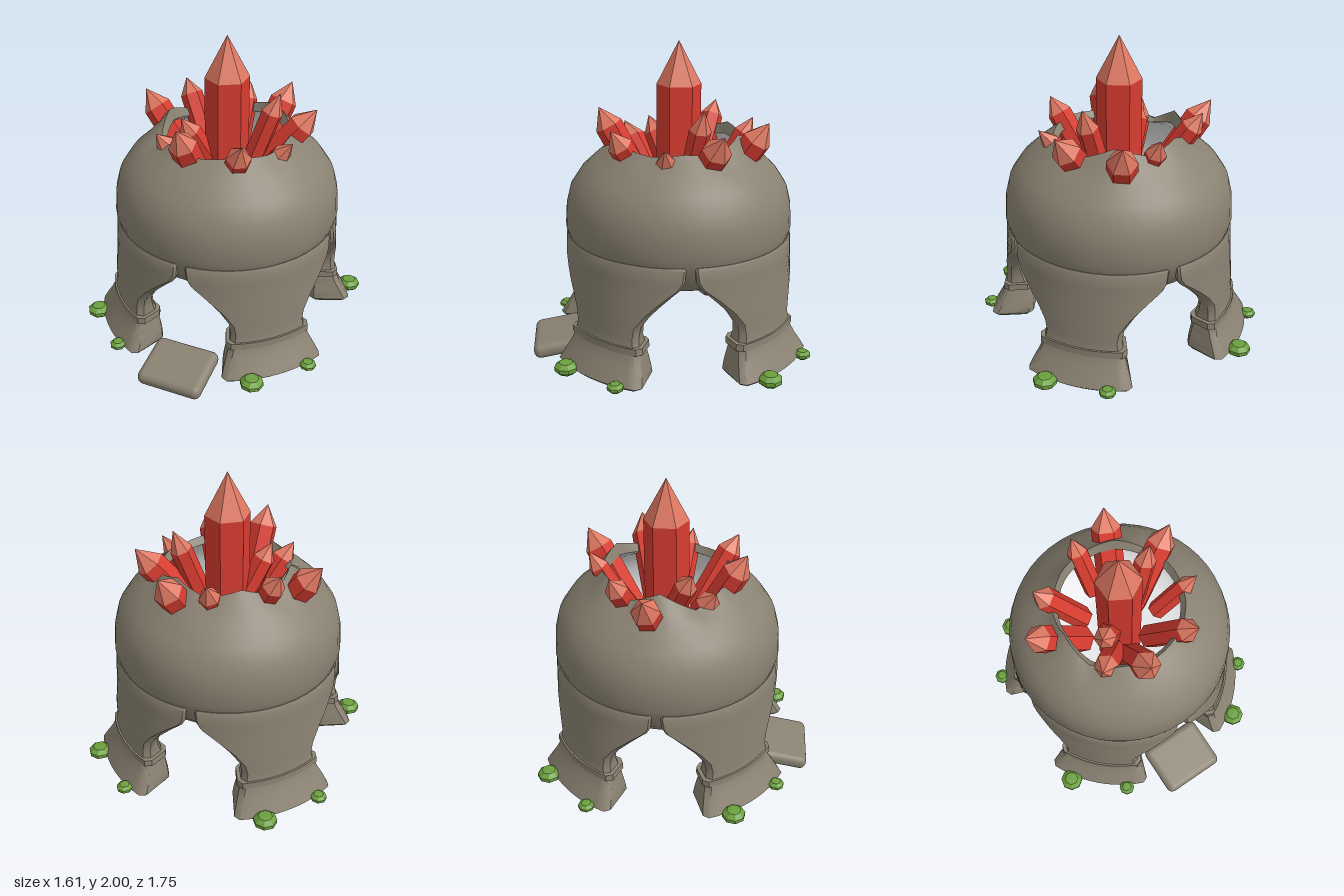
import * as THREE from 'three';
import { toCreasedNormals } from 'three/addons/utils/BufferGeometryUtils.js';
import { RoundedBoxGeometry } from 'three/addons/geometries/RoundedBoxGeometry.js';

const paint = (name, color) => {
  const m = new THREE.MeshStandardMaterial({ color });
  m.name = name;
  return m;
};

function mesh(name, geometry, material, parent) {
  const m = new THREE.Mesh(geometry, material);
  m.name = name;
  parent.add(m);
  return m;
}

// Rim height offsets, every 30 degrees starting at the front
const JAG = [0.0, 0.02, 0.0, 0.02, 0.0, 0.08, 0.02, 0.07, 0.0, 0.08, -0.04, 0.02];

// Revolved profile whose upper edge is broken into an uneven rim
function brokenLathe(profile, crease) {
  const geo = new THREE.LatheGeometry(profile.map(([r, y]) => new THREE.Vector2(r, y)), 48);
  const p = geo.attributes.position;
  for (let i = 0; i < p.count; i++) {
    const x = p.getX(i), y = p.getY(i), z = p.getZ(i);
    if (y <= 1.29) continue;
    const t = ((Math.atan2(x, z) / (Math.PI * 2) + 1) % 1) * 12;
    const k = Math.floor(t) % 12, f = t - Math.floor(t);
    const jag = JAG[k] * (1 - f) + JAG[(k + 1) % 12] * f;
    const w = (y - 1.29) / 0.085;
    p.setXYZ(i, x * (1 - jag * w * 0.4), y + jag * w, z * (1 - jag * w * 0.4));
  }
  return toCreasedNormals(geo, crease);
}

// Curved pillar: rows of [y, half angle in degrees, outer radius, inner radius]
function curvedPillar(rows) {
  const N = 15, pos = [], idx = [];
  for (const [y, deg, rOut, rIn] of rows) {
    const h = THREE.MathUtils.degToRad(deg), c = Math.min(0.032, (rOut - rIn) * 0.3);
    const arc = (r, inset) => Array.from({ length: N }, (_, i) => {
      if (i === 0 || i === N - 1) return [i ? h : -h, inset];
      return [(h - c / r) * ((2 * (i - 1)) / (N - 3) - 1), r];
    });
    const loop = [...arc(rOut, rOut - c), ...arc(rIn, rIn + c).reverse()];
    for (const [a, r] of loop) pos.push(r * Math.sin(a), y, r * Math.cos(a));
  }
  const L = 2 * N, top = (rows.length - 1) * L;
  for (let j = 0; j < rows.length - 1; j++) {
    for (let i = 0; i < L; i++) {
      const a = j * L + i, b = j * L + (i + 1) % L;
      idx.push(a, b, b + L, a, b + L, a + L);
    }
  }
  // End caps join the outer arc to the inner arc
  for (let i = 0; i < N - 1; i++) {
    const a = i, b = i + 1, c = L - 2 - i, d = L - 1 - i;
    idx.push(a, c, b, a, d, c);
    idx.push(top + a, top + b, top + c, top + a, top + c, top + d);
  }
  const geo = new THREE.BufferGeometry();
  geo.setAttribute('position', new THREE.Float32BufferAttribute(pos, 3));
  geo.setIndex(idx);
  return toCreasedNormals(geo, 0.75);
}

// Six-sided crystal from a base point to a tip point
function crystal(name, base, tip, r, tipLength, bodyMat, tipMat, parent) {
  const from = new THREE.Vector3(...base), dir = new THREE.Vector3(...tip).sub(from);
  const length = dir.length() - tipLength;
  const g = new THREE.Group();
  g.name = name;
  const flat = (geo, y) => toCreasedNormals(geo.translate(0, y, 0), 0.2);
  mesh('crystalShaft', flat(new THREE.CylinderGeometry(r, r, length, 6), length / 2), bodyMat, g);
  mesh('crystalTip', flat(new THREE.ConeGeometry(r, tipLength, 6), length + tipLength / 2), tipMat, g);
  g.position.copy(from);
  g.quaternion.setFromUnitVectors(new THREE.Vector3(0, 1, 0), dir.normalize());
  parent.add(g);
}

export function createModel() {
  const model = new THREE.Group();
  model.name = 'crystalShrine';
  const stone = paint('stone', 0x8a8272);
  stone.side = THREE.DoubleSide;
  const lining = paint('paleLining', 0xececee);
  lining.side = THREE.DoubleSide;
  const red = paint('crystalRed', 0xd83c30);
  const salmon = paint('crystalSalmon', 0xdf7862);
  const green = paint('gemGreen', 0x6ba03e);

  // Everything but the step is arranged around this axis
  const shrine = new THREE.Group();
  shrine.name = 'shrine';
  shrine.position.z = -0.07;
  model.add(shrine);

  // Stone dome with a thin broken rim
  mesh('dome', brokenLathe([
    [0.6, 0.628], [0.665, 0.7], [0.697, 0.8], [0.715, 0.86], [0.705, 1.0], [0.68, 1.1],
    [0.615, 1.2], [0.53, 1.28], [0.46, 1.33], [0.4, 1.375], [0.37, 1.335],
  ], 0.7), stone, shrine);

  // Pale bowl lining the dome
  mesh('lining', brokenLathe([
    [0, 0.55], [0.36, 0.552], [0.49, 0.575], [0.595, 0.63], [0.65, 0.75], [0.67, 0.88],
    [0.65, 1.05], [0.57, 1.18], [0.46, 1.275], [0.37, 1.335],
  ], 1.2), lining, shrine);

  // Four flared legs with ankle bands
  const legGeo = curvedPillar([
    [0.065, 23, 0.825, 0.59], [0.085, 24.2, 0.845, 0.57], [0.14, 23.4, 0.815, 0.57],
    [0.2, 22.2, 0.78, 0.575], [0.27, 20.8, 0.75, 0.585], [0.35, 20, 0.738, 0.605],
    [0.42, 21, 0.737, 0.62], [0.5, 25.5, 0.73, 0.625], [0.57, 31, 0.725, 0.625],
    [0.63, 36.2, 0.72, 0.63], [0.675, 40.3, 0.718, 0.645], [0.72, 42.3, 0.716, 0.66],
    [0.795, 42.8, 0.712, 0.67], [0.81, 42.3, 0.704, 0.672],
  ]);
  const bandGeo = curvedPillar([[0.258, 22.6, 0.759, 0.572], [0.3, 22.4, 0.757, 0.572]]);
  for (let k = 0; k < 4; k++) {
    const leg = new THREE.Group();
    leg.name = 'leg' + (k + 1);
    leg.rotation.y = Math.PI / 4 + (k * Math.PI) / 2;
    mesh('pillar', legGeo, stone, leg);
    mesh('ankleBand', bandGeo, stone, leg);
    shrine.add(leg);
  }

  // Green cut gems on the feet: a large and a small one on each
  const gemProfile = [[0, -1], [0.6, -0.9], [1, -0.3], [1, 0.3], [0.6, 0.9], [0, 1]];
  const gemGeo = toCreasedNormals(
    new THREE.LatheGeometry(gemProfile.map(([r, y]) => new THREE.Vector2(r, y)), 8), 0.3);
  for (let k = 0; k < 4; k++) {
    for (const [x, z, r] of [[0.478, 0.735, 0.073], [0.74, 0.445, 0.051]]) {
      const gem = mesh('footGem', gemGeo, green, shrine);
      const a = (k * Math.PI) / 2, c = Math.cos(a), s = Math.sin(a);
      gem.position.set(x * c + z * s, 0.091, z * c - x * s);
      gem.rotation.y = a + 0.2;
      gem.scale.set(r, r * 0.57, r);
    }
  }

  // Tall central crystal
  crystal('centralCrystal', [0, 0.56, -0.07], [0, 2, -0.07], 0.138, 0.265, red, salmon, model);

  // Leaning crystals around it: base, tip, radius, tip length
  [
    [[0.1, 1.05, -0.3], [0.24, 1.535, -0.59], 0.092, 0.135],
    [[-0.02, 1.12, -0.32], [-0.03, 1.51, -0.54], 0.064, 0.11],
    [[-0.18, 1.12, -0.21], [-0.41, 1.545, -0.36], 0.072, 0.11],
    [[-0.25, 1.06, -0.11], [-0.6, 1.52, -0.15], 0.088, 0.135],
    [[0.15, 1.06, -0.14], [0.51, 1.52, -0.28], 0.092, 0.135],
    [[0.12, 1.08, -0.11], [0.3, 1.63, -0.19], 0.068, 0.135],
    [[0.22, 1.13, 0.01], [0.475, 1.44, 0.06], 0.06, 0.11],
    [[-0.05, 1.06, -0.06], [-0.23, 1.49, 0.1], 0.07, 0.11],
    [[-0.13, 1.07, 0.07], [-0.33, 1.435, 0.25], 0.078, 0.12],
    [[-0.065, 1.06, 0.15], [-0.11, 1.575, 0.42], 0.088, 0.13],
    [[0.1, 1.07, 0.11], [0.27, 1.515, 0.36], 0.077, 0.12],
  ].forEach(([base, tip, r, len], i) =>
    crystal('leaningCrystal' + (i + 1), base, tip, r, len, red, salmon, model));

  // Tilted stone step at the front
  const step = mesh('frontStep', new RoundedBoxGeometry(0.424, 0.095, 0.35, 4, 0.042), stone, model);
  step.position.set(0, 0.073, 0.703);
  step.rotation.x = 0.175;
  return model;
}
